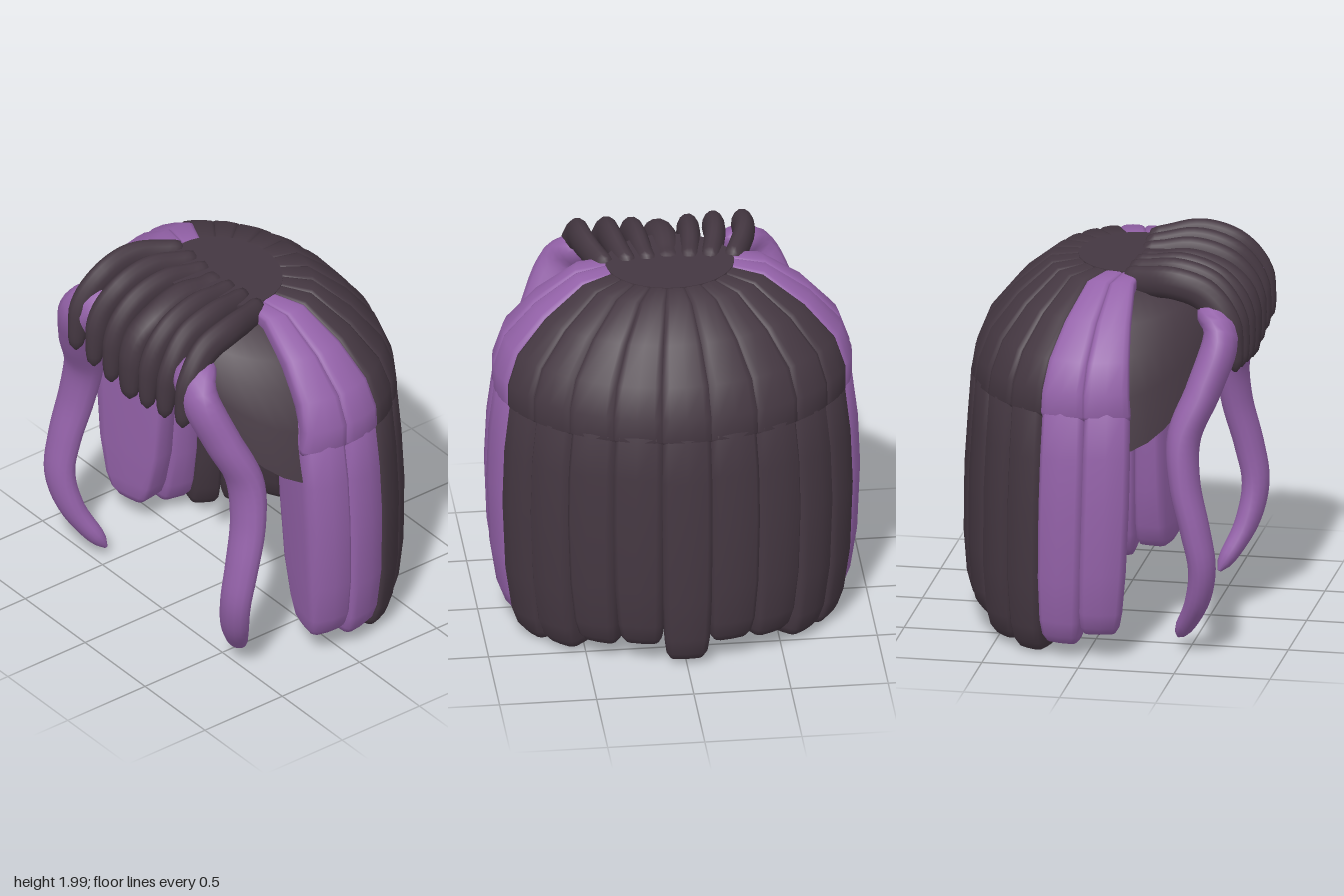
import * as THREE from 'three';

const DEG = Math.PI / 180;
const dark = new THREE.MeshStandardMaterial({ color: 0x443741, side: THREE.DoubleSide });
dark.name = 'dark hair';
const purple = new THREE.MeshStandardMaterial({ color: 0x9462a9 });
purple.name = 'purple hair';

// Closed skin over a list of rings, with a centre point closing each end
function loft(rings) {
  const n = rings[0].length, pos = [], idx = [];
  rings.forEach((ring) => ring.forEach((p) => pos.push(p.x, p.y, p.z)));
  for (let i = 0; i < rings.length - 1; i++) {
    for (let j = 0; j < n; j++) {
      const a = i * n + j, b = i * n + (j + 1) % n;
      idx.push(a, b, a + n, b, b + n, a + n);
    }
  }
  [0, rings.length - 1].forEach((r) => {
    const c = new THREE.Vector3();
    rings[r].forEach((p) => c.addScaledVector(p, 1 / n));
    const k = pos.length / 3;
    pos.push(c.x, c.y, c.z);
    for (let j = 0; j < n; j++) {
      const a = r * n + j, b = r * n + (j + 1) % n;
      if (r === 0) idx.push(k, b, a); else idx.push(k, a, b);
    }
  });
  // Turn the faces outward whichever way the rings run
  const v = (i) => new THREE.Vector3().fromArray(pos, i * 3);
  let volume = 0;
  for (let i = 0; i < idx.length; i += 3) volume += v(idx[i]).dot(v(idx[i + 1]).cross(v(idx[i + 2])));
  if (volume < 0) idx.reverse();
  const g = new THREE.BufferGeometry();
  g.setAttribute('position', new THREE.Float32BufferAttribute(pos, 3));
  g.setIndex(idx);
  g.computeVertexNormals();
  return g;
}

// Rounded-square section: calls point(u, v) with u, v in -1..1
function section(point, power, n = 16) {
  const soft = (x) => Math.sign(x) * Math.abs(x) ** power;
  return Array.from({ length: n }, (_, j) => {
    const a = (j / n) * Math.PI * 2;
    return point(soft(Math.cos(a)), soft(Math.sin(a)));
  });
}

// Point on an ellipse round the head; angle 0 is the back, 90 the left side
const around = (t, a, b, zc, y) =>
  new THREE.Vector3(a * Math.sin(t * DEG), y, zc - b * Math.cos(t * DEG));

// Crown profile: y, half width, half depth, centre z, outward normal, half thickness
const crown = [
  [1.935, 0.32, 0.27, 0.1, 0.1, 1, 0.03],
  [1.925, 0.49, 0.38, 0.06, 0.3, 0.95, 0.06],
  [1.78, 0.71, 0.53, 0.03, 0.6, 0.8, 0.075],
  [1.61, 0.87, 0.65, 0.01, 0.75, 0.6, 0.08],
  [1.45, 0.925, 0.705, 0, 0.98, 0.2, 0.07],
  [1.33, 0.925, 0.725, 0, 1, 0, 0.06],
  [1.3, 0.9, 0.70, 0, 1, 0, 0.04],
];
function crownLock(t, half) {
  return loft(crown.map(([y, a, b, zc, nr, ny, h]) => section((u, v) => {
    const off = h * (v - 1);
    return around(t + half * u, a + nr * off, b + nr * off, zc, y + ny * off);
  }, 0.5)));
}

// Hanging profile: fraction of length, half width, half depth, inner ratio, thickness, breadth
const hanging = [
  [0, 0.84, 0.65, 0.52, 0.9, 0.9],
  [0.11, 0.925, 0.725, 0.51, 1, 1],
  [0.28, 0.955, 0.742, 0.505, 1, 1.02],
  [0.48, 0.967, 0.76, 0.52, 1, 1],
  [0.74, 0.952, 0.765, 0.57, 1, 0.96],
  [0.9, 0.92, 0.752, 0.65, 0.98, 0.9],
  [0.96, 0.895, 0.737, 0.70, 0.92, 0.83],
  [0.99, 0.875, 0.72, 0.74, 0.75, 0.68],
  [1, 0.86, 0.705, 0.76, 0.4, 0.38],
];
// The lock drifts by `twist` degrees towards its tip
function hangingLock(t, half, bottom, twist) {
  return loft(hanging.map(([f, a, b, inner, s, w]) => {
    const y = 1.5 + (bottom - 1.5) * f;
    return section((u, v) => {
      const k = (1 + inner) / 2 + ((1 - inner) / 2) * v * s;
      return around(t + twist * f * f + half * u * w, a * k, b * k, 0, y);
    }, 0.42);
  }));
}

// Tapered strand along a path; radii are [across, thick] pairs along it
function strand(points, radii, steps = 28) {
  const curve = new THREE.CatmullRomCurve3(points.map((p) => new THREE.Vector3(...p)));
  const rings = [];
  for (let i = 0; i <= steps; i++) {
    const f = i / steps, q = f * (radii.length - 1);
    const k = Math.min(Math.floor(q), radii.length - 2);
    const round = Math.sqrt(Math.max(0.06, 1 - Math.max(0, 1 - f / 0.06, (f - 0.94) / 0.06) ** 2));
    const r = [0, 1].map((c) => THREE.MathUtils.lerp(radii[k][c], radii[k + 1][c], q - k) * round);
    const p = curve.getPointAt(f), tan = curve.getTangentAt(f);
    const side = new THREE.Vector3(1, 0, 0).addScaledVector(tan, -tan.x).normalize();
    const up = tan.clone().cross(side);
    rings.push(section((u, v) => p.clone().addScaledVector(side, u * r[0]).addScaledVector(up, v * r[1]), 1, 14));
  }
  return loft(rings);
}

// Scalp shell with its rim rising over the forehead: y, half width, half depth, centre z
const shell = [
  [1.9, 0.3, 0.26, 0.1], [1.85, 0.46, 0.37, 0.07], [1.74, 0.61, 0.475, 0.05],
  [1.6, 0.73, 0.56, 0.02], [1.4, 0.83, 0.615, 0], [1.13, 0.9, 0.64, 0],
];
function scalp() {
  const g = new THREE.PlaneGeometry(1, 1, 48, shell.length - 1);
  const pos = g.attributes.position;
  for (let i = 0; i < pos.count; i++) {
    const [y, a, b, zc] = shell[Math.floor(i / 49)];
    const t = (i % 49) * 7.5;
    const rim = 1.13 + 0.37 * THREE.MathUtils.smoothstep(Math.min(t, 360 - t), 108, 168);
    const p = around(t, a, b, zc, 1.9 - (1.9 - y) * (1.9 - rim) / 0.77);
    pos.setXYZ(i, p.x, p.y, p.z);
  }
  g.computeVertexNormals();
  return g;
}

export function createModel() {
  const model = new THREE.Group();
  const add = (name, geometry, material) => {
    const m = new THREE.Mesh(geometry, material);
    m.name = name;
    model.add(m);
    return m;
  };

  add('scalp', scalp(), dark);
  const disc = add('crownDisc', new THREE.CylinderGeometry(1, 1, 0.03, 40), dark);
  disc.scale.set(0.33, 1, 0.28);
  disc.position.set(0, 1.922, 0.1);

  // Locks round the back and sides, overlapping a little: angle, half width, bottom, twist, material
  const locks = [
    [0, 9, 0.03, 0, dark], [16, 9, 0.12, 0, dark], [32, 9, 0.1, 0, dark],
    [48, 9, 0.03, 0, dark], [64, 9, 0.01, 0, dark],
    [81.5, 10.4, 0.07, -2, purple], [100.5, 10.4, 0.13, -4, purple],
  ];
  for (const [t, half, bottom, twist, material] of locks) {
    for (const s of t ? [1, -1] : [1]) {
      add('crownLock', crownLock(s * t, half), material);
      add('hangingLock', hangingLock(s * t, half, bottom, s * twist), material);
    }
  }

  // Fringe strands: start x, arch x, tip x, tip y, lift, half width
  const fringe = [
    [0, 0, 0, 1.41, -0.03, 0.075], [0.1, 0.135, 0.15, 1.43, -0.01, 0.054],
    [0.2, 0.265, 0.295, 1.45, 0, 0.054], [0.31, 0.415, 0.445, 1.47, 0, 0.054],
  ];
  for (const [x0, x1, x2, tip, lift, w] of fringe) {
    for (const s of x0 ? [1, -1] : [1]) {
      add('fringeStrand', strand([
        [s * x0, 1.885, 0.11], [s * (x0 + x1) / 2, 1.9 + lift, 0.23], [s * x1, 1.915 + lift, 0.39],
        [s * (x1 + 0.01), 1.865 + lift, 0.55], [s * x2, 1.75, 0.655], [s * x2, 1.6, 0.7], [s * x2, tip, 0.715],
      ], [[w, 0.075], [w, 0.085], [w * 1.1, 0.085], [w, 0.075], [w * 0.65, 0.035]]), dark);
    }
  }

  // Long wavy tufts framing the face
  for (const s of [1, -1]) {
    add('faceTuft', strand([
      [s * 0.34, 1.8, 0.55], [s * 0.47, 1.68, 0.645], [s * 0.59, 1.42, 0.58], [s * 0.67, 1.18, 0.49],
      [s * 0.715, 0.95, 0.5], [s * 0.74, 0.7, 0.56], [s * 0.735, 0.5, 0.595],
      [s * 0.68, 0.3, 0.56], [s * 0.55, 0.07, 0.44],
    ], [[0.12, 0.08], [0.13, 0.095], [0.13, 0.09], [0.115, 0.08], [0.1, 0.075], [0.09, 0.065], [0.055, 0.042]], 44), purple);
  }
  return model;
}
